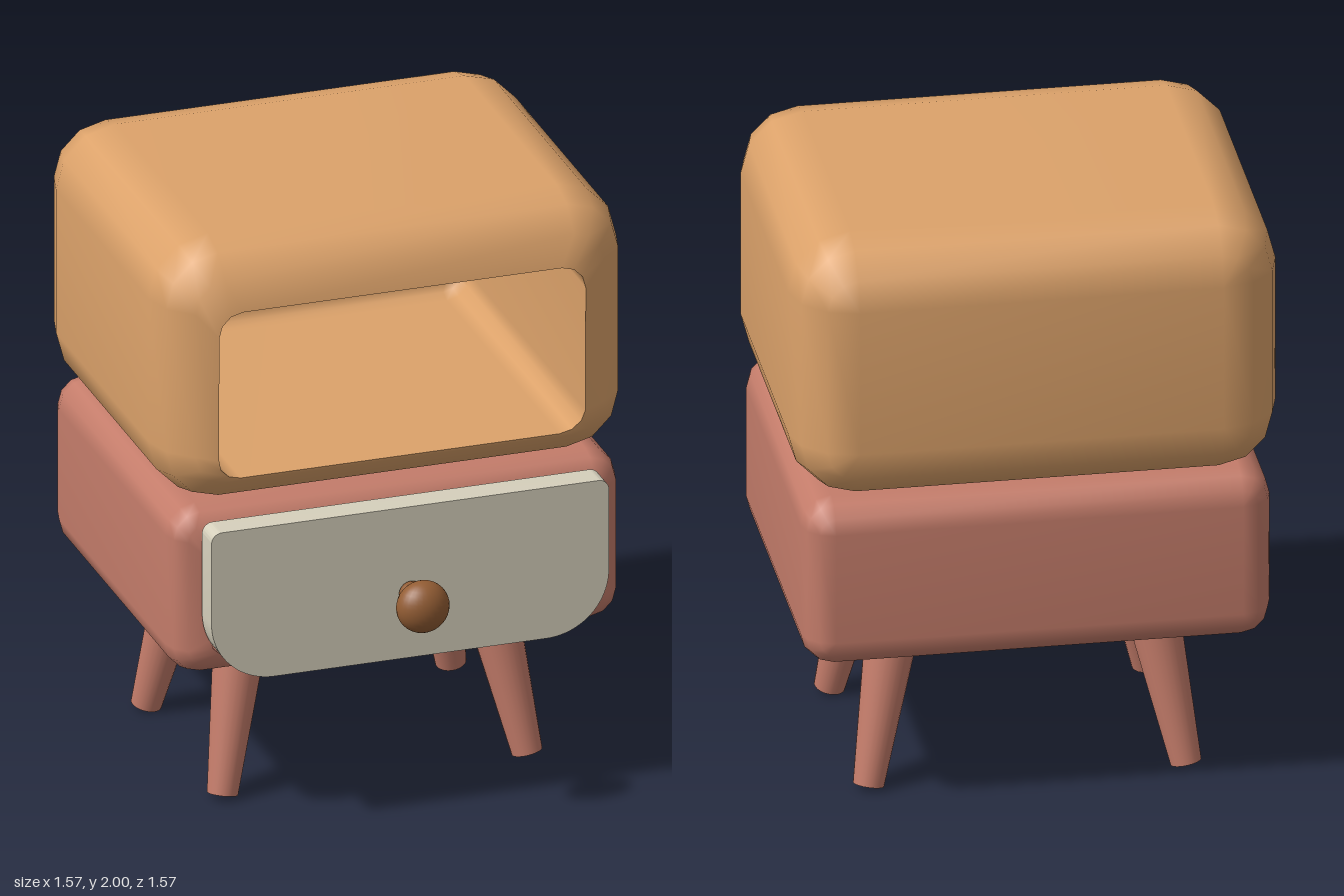
import * as THREE from 'three';
import { mergeVertices, toCreasedNormals } from 'three/addons/utils/BufferGeometryUtils.js';

const paint = (name, color) => {
  const m = new THREE.MeshStandardMaterial({ color });
  m.name = name;
  return m;
};

function addMesh(parent, name, geometry, material) {
  const mesh = new THREE.Mesh(geometry, material);
  mesh.name = name;
  parent.add(mesh);
  return mesh;
}

// Rounded rectangle of points at depth z, counter-clockwise seen from the front
function roundLoop(w, y0, y1, r, z, segs = 3) {
  const pts = [];
  const corners = [[w - r, y1 - r], [r - w, y1 - r], [r - w, y0 + r], [w - r, y0 + r]];
  corners.forEach(([cx, cy], k) => {
    for (let i = 0; i <= segs; i++) {
      const a = (k + i / segs) * Math.PI / 2;
      pts.push(new THREE.Vector3(cx + r * Math.cos(a), cy + r * Math.sin(a), z));
    }
  });
  return pts;
}

// Loop of the same length squeezed into one point, used to close an end
function pointLoop(y, z, segs = 3) {
  return Array.from({ length: 4 * (segs + 1) }, () => new THREE.Vector3(0, y, z));
}

// Smooth skin over a list of loops
function skin(loops) {
  const n = loops[0].length;
  const index = [];
  for (let i = 0; i < loops.length - 1; i++) {
    for (let j = 0; j < n; j++) {
      const a = i * n + j, b = i * n + (j + 1) % n;
      index.push(a, b, b + n, a, b + n, a + n);
    }
  }
  let g = new THREE.BufferGeometry().setFromPoints(loops.flat());
  g.setIndex(index);
  g = mergeVertices(g, 1e-4);
  g.computeVertexNormals();
  return g;
}

// Round-edged cabinet with an open front and a deep hollow
function cabinet(name, s, hole, material) {
  const group = new THREE.Group();
  group.name = name;
  const ring = (t, front) => {
    const inset = s.r * (1 - Math.cos(t));
    const z = front ? s.z1 - s.r * (1 - Math.sin(t)) : s.z0 + s.r * (1 - Math.sin(t));
    return roundLoop(s.w - inset, s.y0 + inset, s.y1 - inset, s.r * Math.cos(t), z);
  };
  const step = Math.PI / 6;
  const rim = roundLoop(hole.w, hole.y0, hole.y1, hole.r, s.z1);
  // The lower rim follows the rounded front edge
  rim.forEach((p) => {
    const drop = Math.max(0, (s.y0 + s.r - p.y) / (s.r / 2));
    p.z -= 0.134 * s.r * Math.min(1, drop);
  });
  const midY = (s.y0 + s.y1) / 2;
  addMesh(group, name + 'Shell', skin([
    pointLoop(midY, s.z0),
    ring(3 * step, false), ring(2 * step, false), ring(step, false), ring(0, false),
    ring(0, true), ring(step, true), ring(2 * step, true), rim,
  ]), material);

  const inner = (inset, z) =>
    roundLoop(hole.w - inset, hole.y0 + inset, hole.y1 - inset, hole.r - inset, z);
  addMesh(group, name + 'Hollow', skin([
    rim, inner(0, hole.back + 0.05), inner(0.015, hole.back + 0.015),
    inner(0.05, hole.back), pointLoop((hole.y0 + hole.y1) / 2, hole.back),
  ]), material);
  return group;
}

export function createModel() {
  const tan = paint('tanWood', 0xdca26a);
  const rose = paint('rosePaint', 0xc47c6a);
  const cream = paint('creamPaint', 0xd6d0bc);
  const brown = paint('brownWood', 0x935d34);

  const model = new THREE.Group();
  model.name = 'nightstand';

  // Upper open cubby and lower drawer case
  model.add(cabinet('upperCubby',
    { w: 0.785, y0: 1.105, y1: 2, z0: -0.785, z1: 0.517, r: 0.2 },
    { w: 0.615, y0: 1.215, y1: 1.8, r: 0.08, back: -0.66 }, tan));
  model.add(cabinet('drawerCase',
    { w: 0.755, y0: 0.53, y1: 1.107, z0: -0.745, z1: 0.492, r: 0.1 },
    { w: 0.635, y0: 0.605, y1: 1.0, r: 0.06, back: -0.62 }, rose));

  // Drawer front: small top corners, wide bottom corners
  const w = 0.667, y0 = 0.557, y1 = 1.08, rt = 0.035, rb = 0.21;
  const face = new THREE.Shape();
  face.absarc(w - rt, y1 - rt, rt, 0, Math.PI / 2);
  face.absarc(rt - w, y1 - rt, rt, Math.PI / 2, Math.PI);
  face.absarc(rb - w, y0 + rb, rb, Math.PI, Math.PI * 1.5);
  face.absarc(w - rb, y0 + rb, rb, Math.PI * 1.5, Math.PI * 2);
  face.closePath();
  const panel = new THREE.ExtrudeGeometry(face, { depth: 0.092, bevelEnabled: false, curveSegments: 10 });
  addMesh(model, 'drawerFront', toCreasedNormals(panel, 0.6), cream).position.z = 0.5;

  // Knob: flattened ball on a short rounded stem
  const ball = addMesh(model, 'knobBall', new THREE.SphereGeometry(0.087, 28, 18), brown);
  ball.scale.z = 0.78;
  ball.position.set(0, 0.785, 0.715);
  const stemProfile = [[0, 0], [0.032, 0], [0.04, 0.01], [0.04, 0.05], [0.03, 0.065], [0.03, 0.09]]
    .map(([x, y]) => new THREE.Vector2(x, y));
  const stem = addMesh(model, 'knobStem',
    toCreasedNormals(new THREE.LatheGeometry(stemProfile, 20), 0.9), brown);
  stem.rotation.x = Math.PI / 2;
  stem.position.set(0, 0.785, 0.588);

  // Four splayed tapering legs
  const up = new THREE.Vector3(0, 1, 0);
  for (const sx of [1, -1]) {
    for (const sz of [1, -1]) {
      const foot = new THREE.Vector3(sx * 0.511, 0.013, -0.128 + sz * 0.373);
      const top = new THREE.Vector3(sx * 0.41, 0.56, -0.128 + sz * 0.27);
      const axis = top.clone().sub(foot);
      const leg = addMesh(model, (sz > 0 ? 'front' : 'back') + (sx > 0 ? 'Left' : 'Right') + 'Leg',
        new THREE.CylinderGeometry(0.09, 0.05, axis.length(), 24), rose);
      leg.quaternion.setFromUnitVectors(up, axis.clone().normalize());
      leg.position.copy(foot).add(top).multiplyScalar(0.5);
    }
  }
  return model;
}
